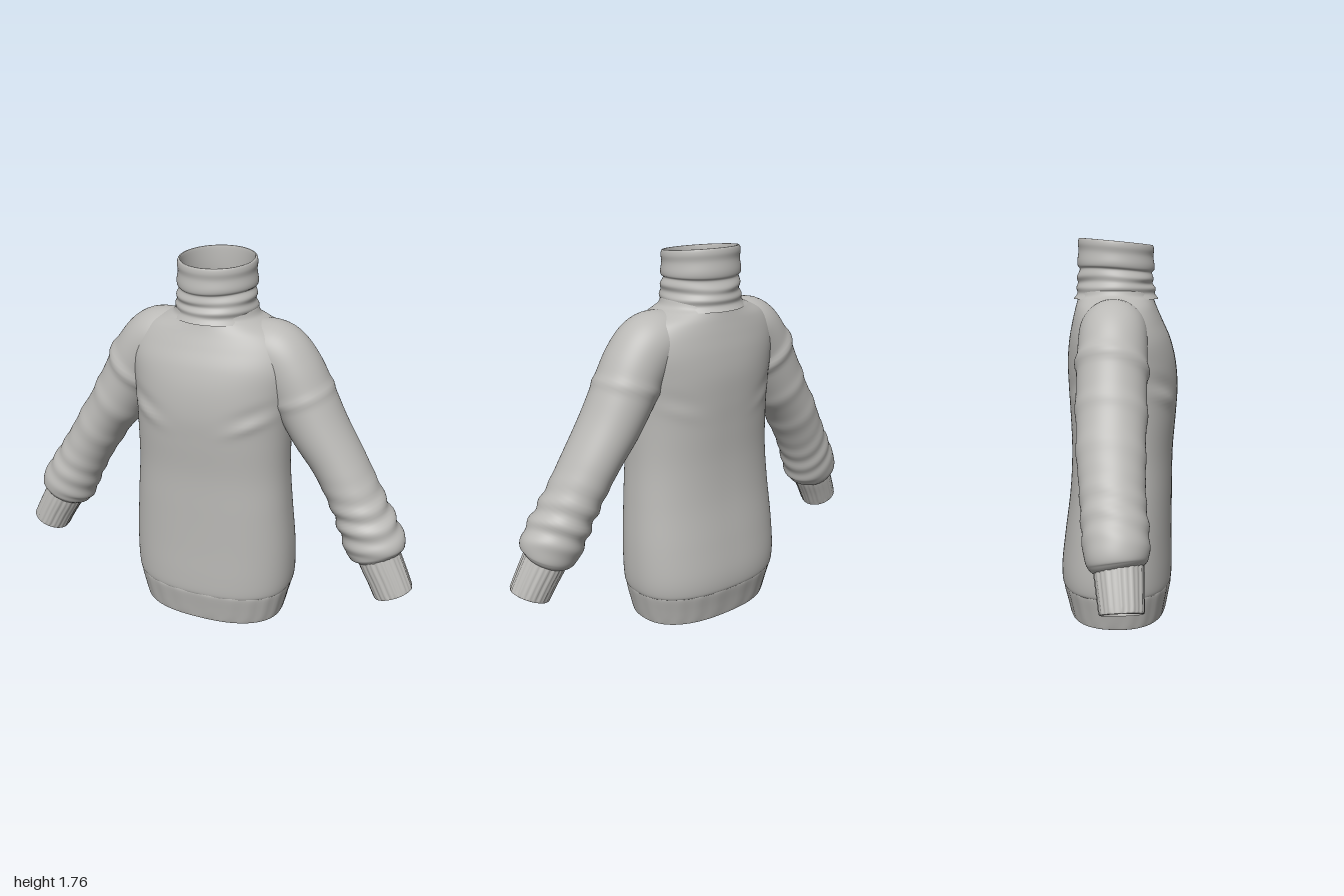
import * as THREE from 'three';

const wool = new THREE.MeshStandardMaterial({ color: 0xbab9b6, side: THREE.DoubleSide });
wool.name = 'grey wool';

const SIDES = 96;
const bump = (v, centre, width) => Math.exp(-(((v - centre) / width) ** 2));

// Smoothly resample a table of cross-section rows
function resample(rows, perRow) {
  const out = [];
  const at = (i) => rows[Math.max(0, Math.min(rows.length - 1, i))];
  for (let i = 0; i < rows.length - 1; i++) {
    for (let k = 0; k < perRow; k++) {
      const t = k / perRow;
      out.push(rows[i].map((_, c) => {
        const p0 = at(i - 1)[c], p1 = at(i)[c], p2 = at(i + 1)[c], p3 = at(i + 2)[c];
        return p1 + 0.5 * t * (p2 - p0 + t * (2 * p0 - 5 * p1 + 4 * p2 - p3 + t * (3 * (p1 - p2) + p3 - p0)));
      }));
    }
  }
  out.push(rows[rows.length - 1]);
  return out;
}

// Skin a list of closed rings
function loft(name, rings, flip = false) {
  const n = rings[0].length, idx = [];
  for (let j = 0; j < rings.length - 1; j++) {
    for (let i = 0; i < n; i++) {
      const a = j * n + i, b = j * n + ((i + 1) % n), c = a + n, d = b + n;
      if (flip) idx.push(a, b, c, b, d, c);
      else idx.push(a, c, b, b, c, d);
    }
  }
  const geo = new THREE.BufferGeometry().setFromPoints(rings.flat());
  geo.setIndex(idx);
  geo.computeVertexNormals();
  const mesh = new THREE.Mesh(geo, wool);
  mesh.name = name;
  return mesh;
}

// Horizontal superellipse ring: y, half width, front z, back z, exponent
function bodyRing([y, w, zf, zb, e], adjust) {
  return Array.from({ length: SIDES }, (_, i) => {
    const a = (i / SIDES) * Math.PI * 2, c = Math.cos(a), s = Math.sin(a);
    const mid = (zf + zb) / 2, half = (zf - zb) / 2;
    const p = new THREE.Vector3(
      w * Math.sign(c) * Math.abs(c) ** (2 / e), y,
      mid + half * Math.sign(s) * Math.abs(s) ** (2 / e));
    if (adjust) adjust(p, a, c, s);
    return p;
  });
}

// Sleeve-like tube: x, y, z, radius across, radius in depth
function tube(name, rows, side, extra, direction) {
  const rings = rows.map((r, j) => {
    const p = rows[Math.max(0, j - 1)], q = rows[Math.min(rows.length - 1, j + 1)];
    const T = direction ? direction.clone()
      : new THREE.Vector3(q[0] - p[0], q[1] - p[1], q[2] - p[2]).normalize();
    const U = new THREE.Vector3(-T.y, T.x, 0).normalize();
    const B = U.clone().cross(T).multiplyScalar(-1);
    if (B.z < 0) B.negate();
    return Array.from({ length: SIDES }, (_, i) => {
      const a = (i / SIDES) * Math.PI * 2, k = extra(a, r, j);
      const v = new THREE.Vector3(r[0], r[1], r[2])
        .addScaledVector(U, (r[3] + k) * Math.cos(a))
        .addScaledVector(B, (r[4] + k) * Math.sin(a));
      v.x *= side;
      return v;
    });
  });
  return loft(name, rings, side > 0);
}

const rib = (a) => 0.003 * Math.sin(a * 24) + 0.002 * Math.sin(a * 11 + 1);

export function createModel() {
  const model = new THREE.Group();
  model.name = 'sweater';

  // Body from hem seam to neck base
  const bodyRows = [
    [0.145, 0.375, 0.24, -0.255, 2.4], [0.165, 0.392, 0.25, -0.27, 2.4],
    [0.25, 0.4, 0.252, -0.272, 2.4], [0.4, 0.397, 0.25, -0.255, 2.4],
    [0.6, 0.382, 0.25, -0.23, 2.4], [0.78, 0.37, 0.252, -0.222, 2.35],
    [0.95, 0.37, 0.265, -0.228, 2.3], [1.08, 0.375, 0.272, -0.236, 2.25],
    [1.2, 0.39, 0.262, -0.24, 2.2], [1.3, 0.4, 0.237, -0.232, 2.2],
    [1.38, 0.385, 0.202, -0.218, 2.15], [1.44, 0.335, 0.175, -0.205, 2.1],
    [1.48, 0.25, 0.16, -0.196, 2.05], [1.5, 0.205, 0.156, -0.193, 2],
    [1.53, 0.188, 0.153, -0.19, 2],
  ];
  // Slanted folds running from the armpits towards the chest
  const chestFold = (p, a, c, s) => {
    const x = Math.abs(p.x);
    const f = bump(p.y, 1.0 + 0.35 * (x - 0.1), 0.025) - 0.7 * bump(p.y, 1.06 + 0.35 * (x - 0.1), 0.03);
    p.z += Math.sign(s) * 0.009 * f * bump(x, 0.26, 0.09) * (s > 0 ? 1 : 0.4);
  };
  model.add(loft('body', resample(bodyRows, 7).map((r) => bodyRing(r, chestFold))));

  // Ribbed hem with a turned-in lip
  const hemRows = [
    [0.06, 0.347, 0.215, -0.225, 2.4], [0.004, 0.342, 0.211, -0.221, 2.4],
    [0, 0.348, 0.217, -0.227, 2.4], [0.01, 0.353, 0.223, -0.232, 2.4],
    [0.08, 0.37, 0.236, -0.248, 2.4], [0.14, 0.384, 0.247, -0.263, 2.4],
    [0.158, 0.385, 0.247, -0.264, 2.4],
  ];
  model.add(loft('hem', resample(hemRows, 4).map((r) => bodyRing(r, (p, a, c, s) => {
    const k = rib(a * 2) * Math.min(1, r[0] / 0.03);
    p.x += k * c;
    p.z += k * s;
  }))));

  // Folded collar, higher at the back, with an inner wall
  const collarRows = [
    [1.485, 0.203], [1.51, 0.186], [1.535, 0.19], [1.56, 0.179], [1.585, 0.183], [1.615, 0.172],
    [1.628, 0.182], [1.65, 0.184], [1.69, 0.178], [1.72, 0.181], [1.74, 0.178],
    [1.745, 0.172], [1.735, 0.166], [1.66, 0.163], [1.55, 0.168],
  ];
  model.add(loft('collar', resample(collarRows, 5).map(([y, r]) =>
    bodyRing([y, r, r * 0.97 - 0.018, -r * 0.97 - 0.018, 2], (p, a, c, s) => {
      const up = THREE.MathUtils.smoothstep(y, 1.5, 1.74);
      const k = 0.004 * Math.sin(3 * a + y * 40) * bump(y, 1.57, 0.05);
      p.x += k * c;
      p.z += k * s;
      p.y -= up * 0.016 * s - 0.006 * Math.sin(2 * a + 1) * bump(y, 1.59, 0.05);
    }))));

  // Sleeves and cuffs
  const sleeveRows = [
    [0.2, 1.345, -0.015, 0.143, 0.145], [0.29, 1.338, -0.012, 0.148, 0.15],
    [0.365, 1.26, -0.01, 0.147, 0.152], [0.44, 1.13, -0.009, 0.141, 0.152],
    [0.51, 1.01, -0.005, 0.133, 0.15], [0.605, 0.87, 0, 0.122, 0.143],
    [0.705, 0.7, 0.014, 0.123, 0.136], [0.77, 0.58, 0.028, 0.133, 0.137],
    [0.807, 0.505, 0.036, 0.14, 0.134], [0.822, 0.462, 0.042, 0.125, 0.122],
    [0.83, 0.44, 0.046, 0.096, 0.1],
  ];
  const cuffRows = [
    [0.826, 0.465, 0.045, 0.096, 0.1], [0.845, 0.425, 0.048, 0.096, 0.1],
    [0.88, 0.36, 0.055, 0.093, 0.095], [0.912, 0.295, 0.062, 0.091, 0.09],
    [0.915, 0.288, 0.062, 0.088, 0.087], [0.913, 0.292, 0.062, 0.083, 0.082],
    [0.88, 0.36, 0.055, 0.083, 0.084],
  ];
  for (const side of [1, -1]) {
    const label = side > 0 ? 'left' : 'right';
    const wrinkles = (a, r) => {
      const y = r[1] + 0.025 * Math.sin(a + side);
      const lower = 0.007 * Math.sin(y * 75 + Math.sin(a * 2)) * bump(y, 0.62, 0.12) * (side > 0 ? 1 : 0.5);
      const upper = side > 0
        ? 0.006 * bump(y, 1.17, 0.02)
        : 0.012 * bump(y, 1.2, 0.022) + 0.006 * bump(y, 1.02, 0.03) + 0.005 * bump(y, 0.86, 0.03);
      return lower + upper;
    };
    model.add(tube(label + 'Sleeve', resample(sleeveRows, 9), side, wrinkles));
    model.add(tube(label + 'Cuff', resample(cuffRows, 3), side,
      (a, r, j) => (j < 10 ? rib(a) * 0.7 : 0), new THREE.Vector3(0.4, -0.915, 0.06).normalize()));
  }
  return model;
}
